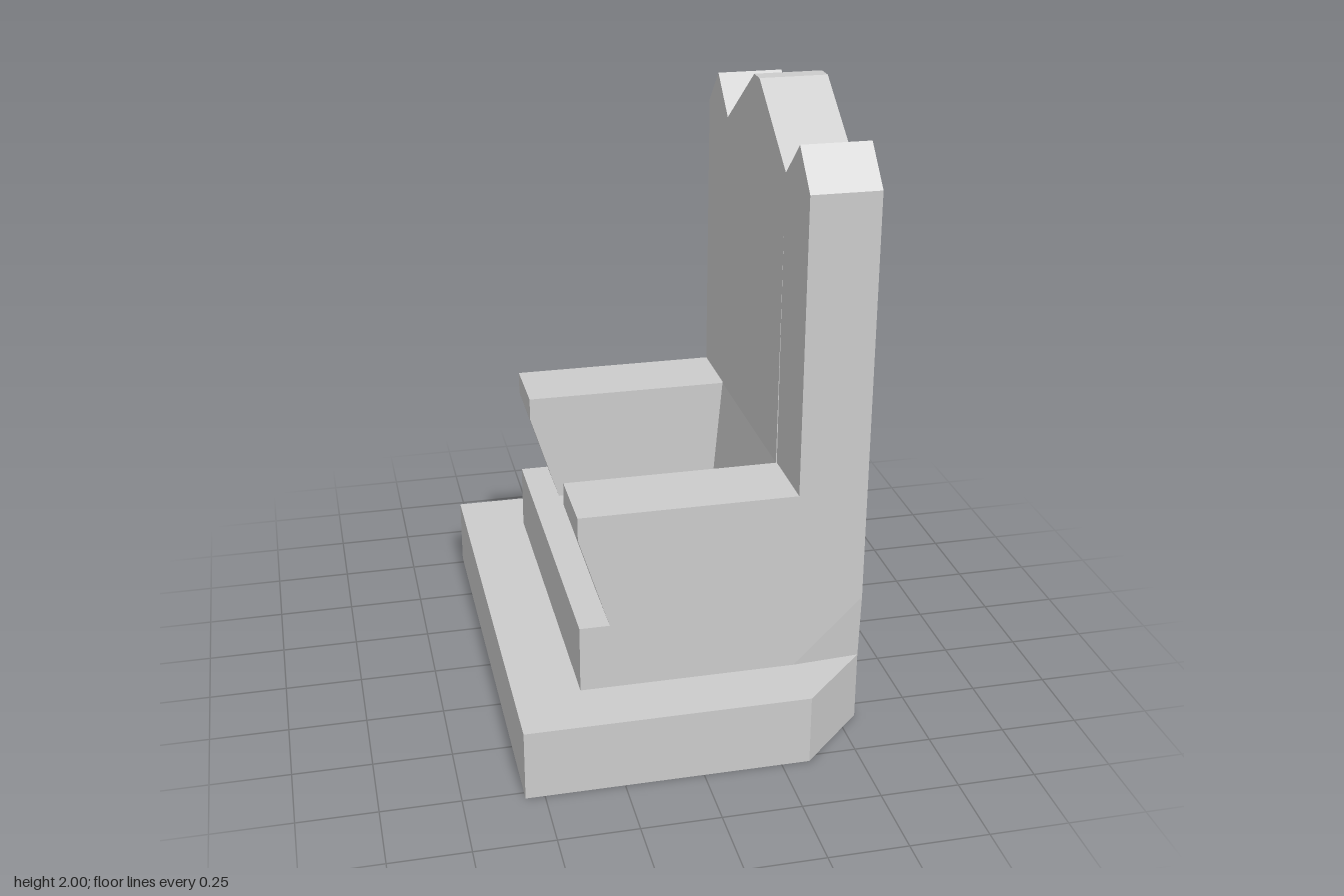
import * as THREE from 'three';

const material = new THREE.MeshStandardMaterial({ color: 0xcccccc, flatShading: true });

// Flat polygon pushed out by a depth along +z
function prism(points, depth) {
  const shape = new THREE.Shape(points.map(([a, b]) => new THREE.Vector2(a, b)));
  return new THREE.ExtrudeGeometry(shape, { depth, bevelEnabled: false });
}

export function createModel() {
  const group = new THREE.Group();
  const add = (name, geometry) => {
    const mesh = new THREE.Mesh(geometry, material);
    mesh.name = name;
    group.add(mesh);
  };

  // Plinth with the two rear corners cut off
  const plinth = prism([
    [-0.56, -0.78], [0.34, -0.78], [0.56, -0.565],
    [0.56, 0.565], [0.34, 0.78], [-0.56, 0.78],
  ], 0.23);
  add('plinth', plinth.rotateX(-Math.PI / 2));

  // Seat block
  add('seat', new THREE.BoxGeometry(0.69, 0.22, 1.16).translate(-0.005, 0.34, 0));

  // Armrests with undercut fronts
  for (const [name, z] of [['armrestNear', 0.335], ['armrestFar', -0.58]]) {
    add(name, prism([
      [-0.255, 0.45], [0.34, 0.45], [0.34, 0.83], [-0.35, 0.83], [-0.35, 0.755],
    ], 0.245).translate(0, 0, z));
  }

  // Foot of the backrest, pinched at its lower rear corners
  const foot = new THREE.BoxGeometry(0.22, 0.22, 1.16).translate(0.45, 0.34, 0);
  const pos = foot.attributes.position;
  for (let i = 0; i < pos.count; i++) {
    if (pos.getX(i) > 0.5 && pos.getY(i) < 0.3) pos.setZ(i, Math.sign(pos.getZ(i)) * 0.565);
  }
  add('backrestFoot', foot);

  // Tall backrest with a three-peaked crest
  const half = [[0.58, 0.45], [0.58, 1.787], [0.467, 1.905], [0.337, 1.785], [0.03, 2]];
  const outline = [...half, ...half.map(([z, y]) => [-z, y]).reverse()];
  add('backrest', prism(outline, 0.22).rotateY(-Math.PI / 2).translate(0.56, 0, 0));

  // Slightly leaning back panel between the armrests
  add('backPanel', prism([
    [0.305, 0.45], [0.36, 0.45], [0.36, 1.61], [0.34, 1.61], [0.337, 0.83],
  ], 0.67).translate(0, 0, -0.335));

  return group;
}
